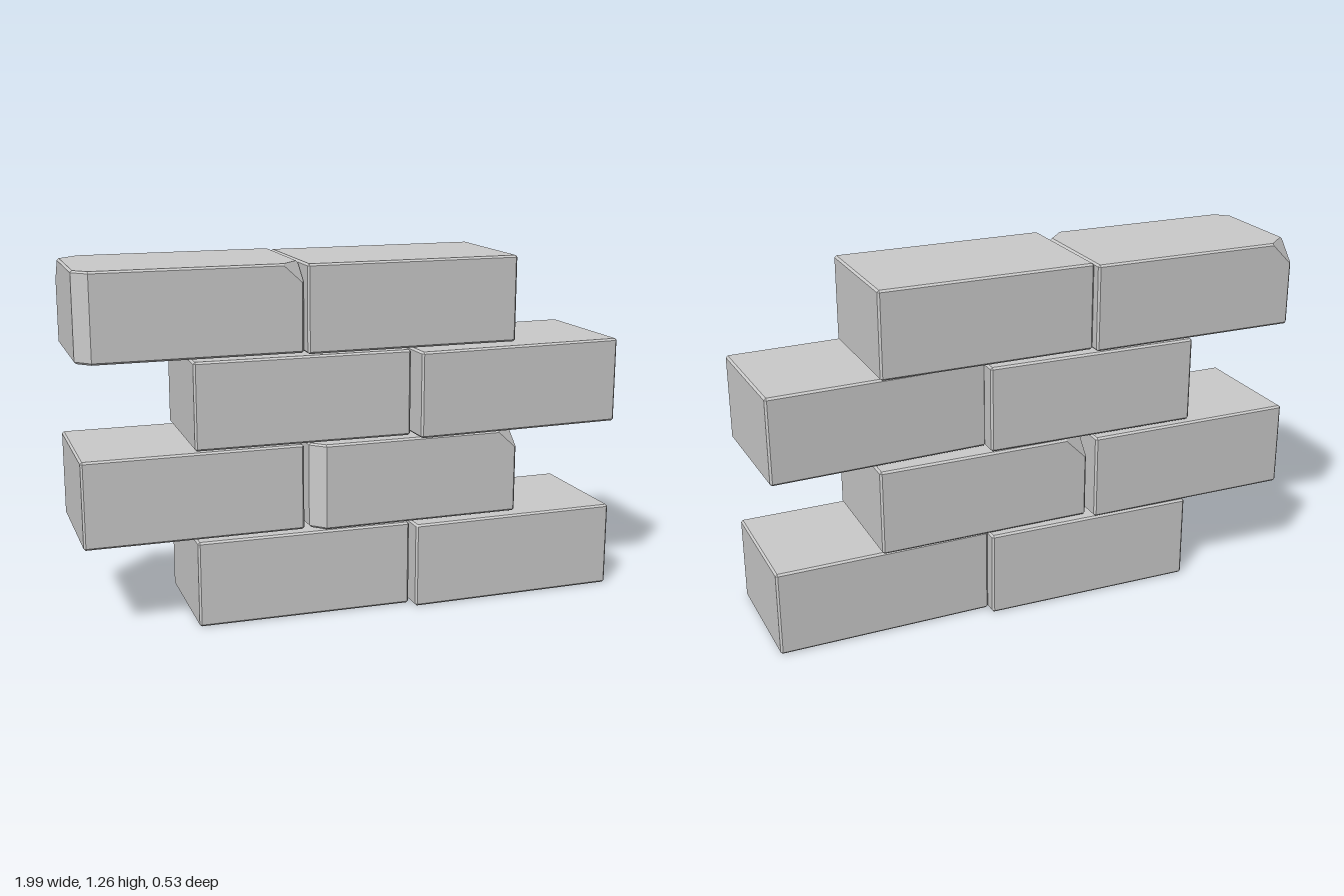
import * as THREE from 'three';
import { ConvexGeometry } from 'three/addons/geometries/ConvexGeometry.js';

const HALF = [0.39, 0.155, 0.2325]; // half length, height, depth
const BEVEL = 0.007;
const PITCH = 0.318; // height from one course to the next

// Bevelled block; chip(sx, sy, sz) gives the cut along x, y, z at a corner, or nothing
function brickGeometry(chip = () => null) {
  const points = [];
  for (const sx of [-1, 1]) for (const sy of [-1, 1]) for (const sz of [-1, 1]) {
    const sign = [sx, sy, sz];
    const add = (inset) =>
      points.push(new THREE.Vector3(...HALF.map((h, i) => sign[i] * (h - inset[i]))));
    const cut = chip(sx, sy, sz);
    for (let a = 0; a < 3; a++) {
      if (!cut) {
        // one point on each of the three faces meeting here
        add([0, 1, 2].map((i) => (i === a ? 0 : BEVEL)));
      } else if (cut[a] > 0) {
        // two points across the bevelled edge where the cut ends
        for (const b of [(a + 1) % 3, (a + 2) % 3]) {
          add([0, 1, 2].map((i) => (i === a ? cut[a] : i === b ? BEVEL : 0)));
        }
      }
    }
  }
  return new ConvexGeometry(points);
}

export function createModel() {
  const material = new THREE.MeshStandardMaterial({ color: 0xcccccc, flatShading: true });
  const plain = brickGeometry();

  // Worn brick: front left upright edge cut, two opposite top corners broken off
  const worn = brickGeometry((sx, sy, sz) => {
    if (sx < 0 && sz > 0) return [0.05, 0, 0.05];
    if (sy > 0 && sx === -sz) return null;
    if (sy > 0 && sx === sz) return sx > 0 ? [0.07, 0.065, 0.075] : [0.08, 0.08, 0.07];
    return null;
  });

  // course, x, z, turn, geometry
  const bricks = [
    [0, -0.203, -0.02, 0.03, plain],
    [0, 0.583, -0.011, 0.055, plain],
    [1, -0.596, -0.02, 0.04, plain],
    [1, 0.205, -0.02, 0.045, worn],
    [2, -0.203, -0.02, 0.027, plain],
    [2, 0.584, 0, 0.08, plain],
    [3, -0.593, -0.018, 0.038, worn],
    [3, 0.19, -0.02, 0.045, plain],
  ];

  const model = new THREE.Group();
  model.name = 'brickWall';
  for (const [course, x, z, turn, geometry] of bricks) {
    const brick = new THREE.Mesh(geometry, material);
    brick.name = `course${course + 1}${geometry === worn ? 'WornBrick' : 'Brick'}`;
    brick.position.set(x, HALF[1] + course * PITCH, z);
    brick.rotation.y = turn;
    model.add(brick);
  }
  return model;
}
